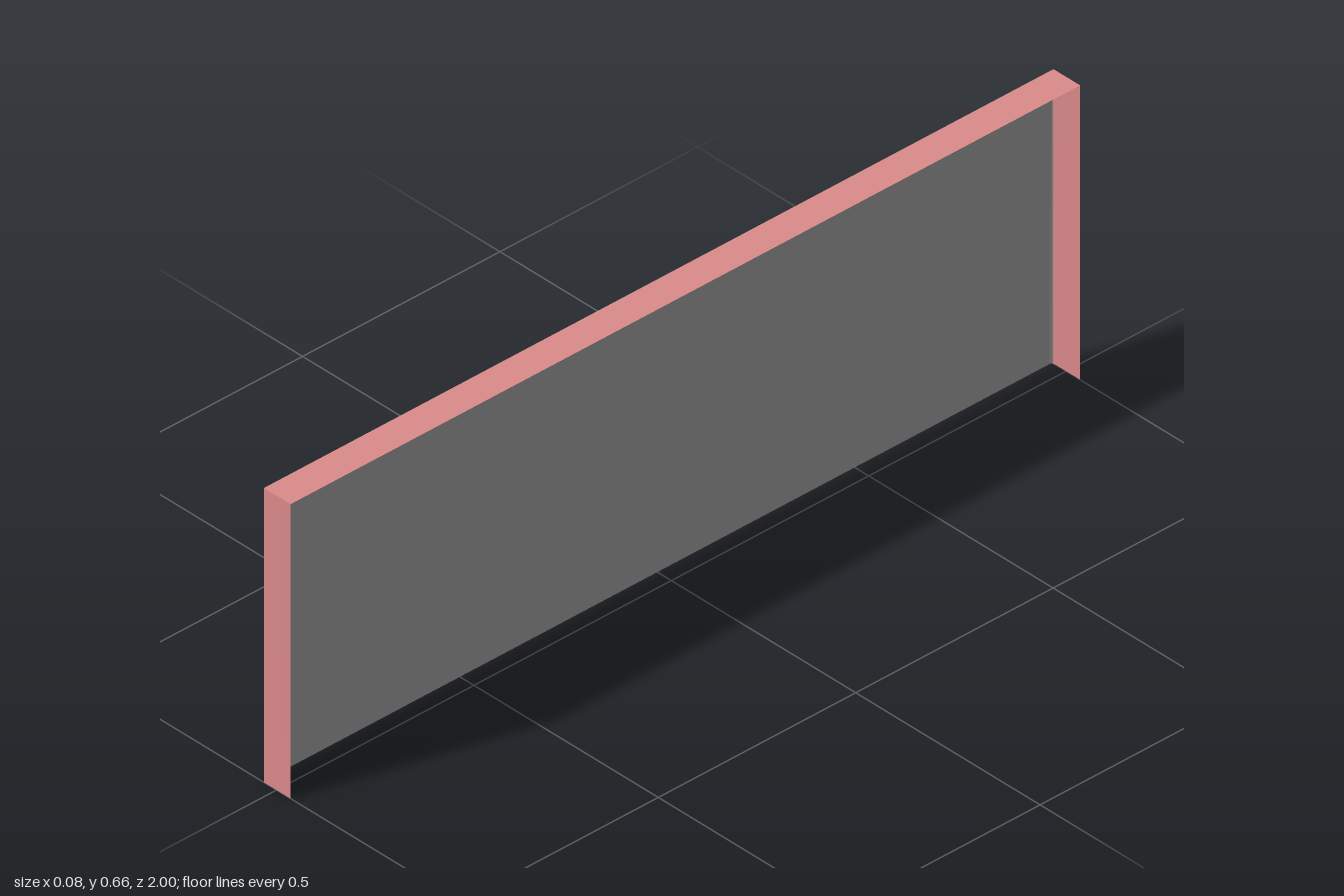
import * as THREE from 'three';
import { toCreasedNormals } from 'three/addons/utils/BufferGeometryUtils.js';

const X = 0.038, H = 0.662, R = 0.006, DEPTH = 0.009;
const grey = new THREE.MeshStandardMaterial({ color: 0x888888, side: THREE.DoubleSide });
const salmon = new THREE.MeshStandardMaterial({ color: 0xd88888, side: THREE.DoubleSide });

// Surface through rows of points
function loft(rows) {
  const n = rows[0].length, index = [];
  for (let i = 0; i < rows.length - 1; i++) {
    for (let j = 0; j < n - 1; j++) {
      const a = i * n + j, b = a + n;
      index.push(a, b, a + 1, b, b + 1, a + 1);
    }
  }
  const g = new THREE.BufferGeometry().setFromPoints(rows.flat());
  g.setIndex(index);
  return toCreasedNormals(g, 0.7);
}

// Open-bottomed path round the door edge, inset by d
const edgeRow = ([d, x]) => [[1 - d, 0], [1 - d, H - d], [d - 1, H - d], [d - 1, 0]]
  .map(([z, y]) => new THREE.Vector3(x, y, z));

// Point on the rounded edge between sheet and flange
function fillet(deg) {
  const t = THREE.MathUtils.degToRad(deg);
  return [R * (1 - Math.sin(t)), -X + R * (1 - Math.cos(t))];
}

// Flat sheet in the z-y plane, facing -x
const sheet = (shape, x) => new THREE.ShapeGeometry(shape, 6).rotateY(-Math.PI / 2).translate(x, 0, 0);

// Recess outline: square bottom corners, rounded top corners
function recessOutline(path) {
  const w = 0.98, lo = 0.542, hi = 0.642, r = 0.015;
  path.moveTo(-w, lo);
  path.lineTo(w, lo);
  path.lineTo(w, hi - r);
  path.quadraticCurveTo(w, hi, w - r, hi);
  path.lineTo(-w + r, hi);
  path.quadraticCurveTo(-w, hi, -w, hi - r);
  path.lineTo(-w, lo);
  return path;
}

export function createModel() {
  const group = new THREE.Group();
  const add = (name, geometry, material) => {
    const mesh = new THREE.Mesh(geometry, material);
    mesh.name = name;
    group.add(mesh);
  };

  // Main sheet with an opening for the recess
  const e = 1 - R;
  const face = new THREE.Shape([[-e, 0], [e, 0], [e, H - R], [-e, H - R]].map(p => new THREE.Vector2(...p)));
  face.holes.push(recessOutline(new THREE.Path()));
  add('facePanel', sheet(face, -X), grey);

  // Shallow recessed strip and its walls
  const recess = recessOutline(new THREE.Shape());
  add('recessPanel', sheet(recess, -X + DEPTH), grey);
  const outline = recess.getPoints(6).reverse();
  add('recessWalls', loft([-X, -X + DEPTH].map(x => outline.map(p => new THREE.Vector3(x, p.y, p.x)))), grey);

  // Rounded rim, then the flanges on the top and both ends
  add('roundedRim', loft([0, 15, 30, 45, 60].map(fillet).map(edgeRow)), grey);
  add('flanges', loft([...[60, 75, 90].map(fillet), [0, X]].map(edgeRow)), salmon);
  return group;
}
